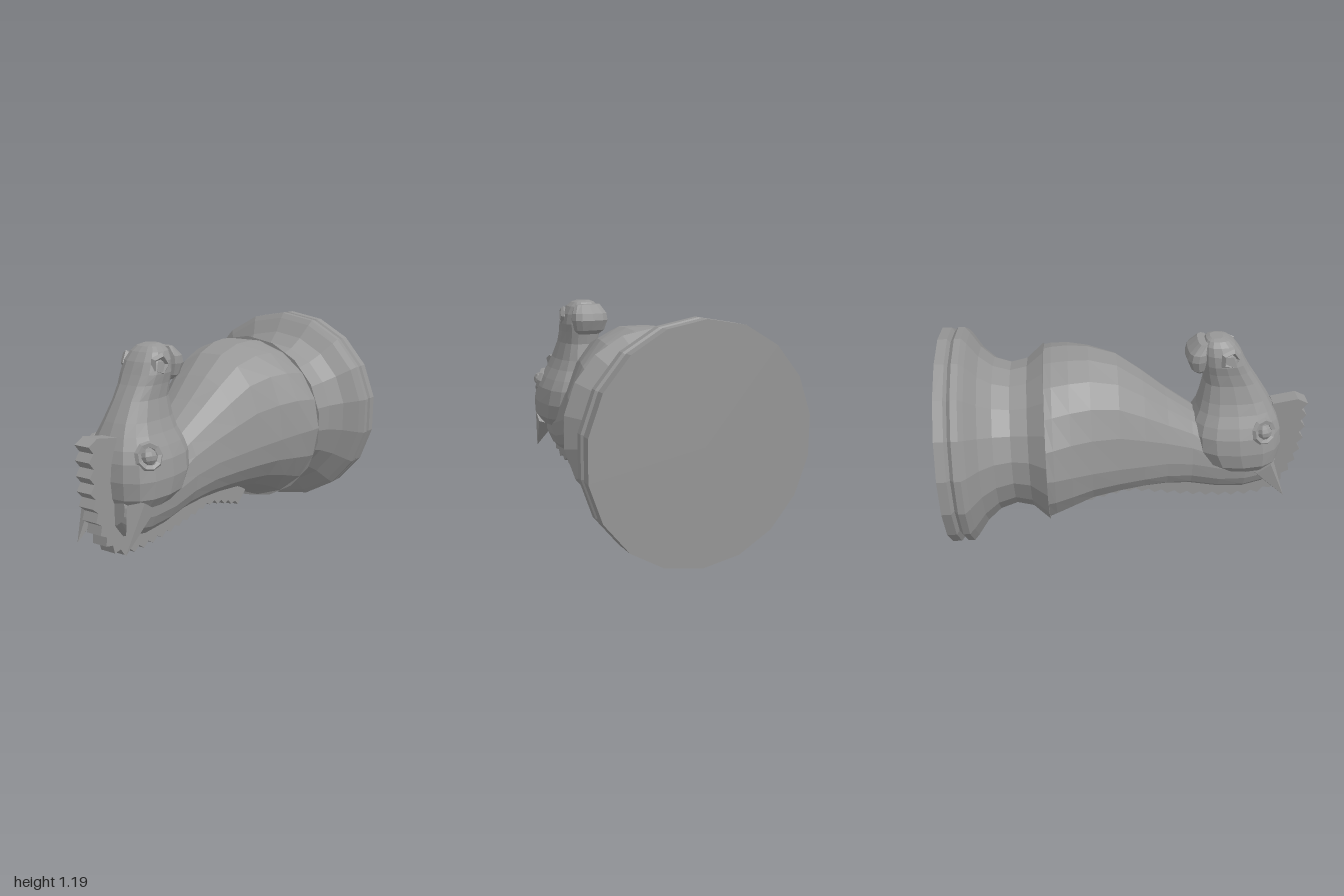
import * as THREE from 'three';

const material = new THREE.MeshStandardMaterial({ color: 0x969696, flatShading: true });

function add(parent, name, geometry) {
  const mesh = new THREE.Mesh(geometry, material);
  mesh.name = name;
  parent.add(mesh);
  return mesh;
}

// Closed loft along z. Each section is [z, low y, high y, y of widest point, half width, roundness].
function loft(sections, sides) {
  const pos = [], index = [];
  sections.forEach(([z, lo, hi, mid, w, power]) => {
    const soft = (v) => Math.sign(v) * Math.pow(Math.abs(v), power);
    for (let j = 0; j < sides; j++) {
      const a = (j / sides) * Math.PI * 2;
      const s = soft(Math.sin(a));
      pos.push(w * soft(Math.cos(a)), mid + s * (s > 0 ? hi - mid : mid - lo), z);
    }
  });
  const last = sections.length - 1;
  for (let i = 0; i < last; i++) {
    for (let j = 0; j < sides; j++) {
      const k = (j + 1) % sides;
      const a = i * sides + j, b = i * sides + k, c = b + sides, d = a + sides;
      index.push(a, b, c, a, c, d);
    }
  }
  for (let j = 1; j < sides - 1; j++) {
    index.push(0, j + 1, j);
    index.push(last * sides, last * sides + j, last * sides + j + 1);
  }
  const g = new THREE.BufferGeometry();
  g.setAttribute('position', new THREE.Float32BufferAttribute(pos, 3));
  g.setIndex(index);
  g.computeVertexNormals();
  return g;
}

// Loft along y. Each row is [y, back z, front z, half width].
function uprightLoft(rows, sides, power) {
  const sections = rows.map(([y, back, front, w]) => [y, -front, -back, -(front + back) / 2, w, power]);
  return loft(sections, sides).rotateX(-Math.PI / 2);
}

export function createModel() {
  const model = new THREE.Group();
  model.name = 'horseHeadPiece';

  // Turned foot and collar, lying along z
  const profile = [
    [0, -1], [0.594, -1], [0.594, -0.95], [0.572, -0.935], [0.594, -0.915], [0.594, -0.88],
    [0.565, -0.855], [0.485, -0.8], [0.425, -0.73], [0.396, -0.64], [0.416, -0.55],
    [0.495, -0.46], [0, -0.46],
  ].map(([r, z]) => new THREE.Vector2(r, z));
  add(model, 'base', new THREE.LatheGeometry(profile, 18).rotateX(Math.PI / 2).translate(0, 0.595, 0));

  // Neck, tapering from the collar to the crown
  add(model, 'neck', loft([
    [-0.459, 0.11, 1.075, 0.595, 0.488, 1],
    [-0.42, 0.135, 1.083, 0.59, 0.478, 0.97],
    [-0.33, 0.185, 1.09, 0.58, 0.44, 0.93],
    [-0.22, 0.23, 1.085, 0.56, 0.385, 0.92],
    [-0.07, 0.252, 1.04, 0.54, 0.33, 0.9],
    [0.07, 0.26, 0.935, 0.52, 0.285, 0.9],
    [0.2, 0.255, 0.825, 0.5, 0.24, 0.9],
    [0.34, 0.24, 0.72, 0.46, 0.2, 0.88],
    [0.5, 0.205, 0.6, 0.41, 0.185, 0.88],
    [0.65, 0.19, 0.56, 0.4, 0.17, 0.88],
    [0.77, 0.215, 0.55, 0.4, 0.145, 0.88],
    [0.83, 0.29, 0.5, 0.4, 0.11, 0.88],
  ], 18));

  // Head, with the muzzle pointing up
  const head = new THREE.Group();
  head.name = 'head';
  model.add(head);
  add(head, 'skull', uprightLoft([
    [0.365, 0.55, 0.74, 0.12], [0.385, 0.47, 0.82, 0.19], [0.44, 0.39, 0.85, 0.232],
    [0.53, 0.338, 0.86, 0.24], [0.62, 0.33, 0.85, 0.225], [0.68, 0.345, 0.83, 0.197],
    [0.74, 0.372, 0.8, 0.163], [0.8, 0.386, 0.768, 0.137], [0.9, 0.405, 0.705, 0.112],
    [0.97, 0.395, 0.658, 0.113], [1.02, 0.39, 0.63, 0.12], [1.08, 0.39, 0.6, 0.113],
    [1.125, 0.395, 0.565, 0.092], [1.15, 0.41, 0.535, 0.066], [1.16, 0.43, 0.5, 0.04],
  ], 16, 0.75));

  // Lower lip below the mouth crease
  add(head, 'lowerLip', uprightLoft([
    [0.965, 0.355, 0.4, 0.065], [0.99, 0.326, 0.41, 0.095], [1.05, 0.302, 0.42, 0.112],
    [1.09, 0.312, 0.42, 0.108], [1.14, 0.365, 0.42, 0.078],
  ], 12, 0.75));

  for (const side of [1, -1]) {
    // Eye with a raised lid, tilted with the cheek
    const eye = new THREE.Group();
    eye.name = 'eye';
    eye.position.set(side * 0.182, 0.65, 0.728);
    eye.rotation.set(-0.3, side * 1.15, 0, 'YXZ');
    head.add(eye);
    add(eye, 'eyeball', new THREE.SphereGeometry(0.044, 8, 6));
    add(eye, 'eyelid', new THREE.TorusGeometry(0.06, 0.018, 5, 9));

    // Five-sided nostril
    const nostril = add(head, 'nostril', new THREE.TorusGeometry(0.045, 0.018, 4, 5));
    nostril.position.set(side * 0.102, 1.065, 0.53);
    nostril.rotation.y = side * 1.3;

    // Pointed ear swept back from the crown
    const root = new THREE.Vector3(side * 0.138, 0.4, 0.745);
    const tip = new THREE.Vector3(side * 0.158, 0.18, 0.888);
    const dir = tip.clone().sub(root);
    const ear = add(head, 'ear', new THREE.ConeGeometry(0.08, dir.length(), 5));
    ear.position.copy(root).lerp(tip, 0.5);
    ear.quaternion.setFromUnitVectors(new THREE.Vector3(0, 1, 0), dir.normalize());
  }

  // Notched mane: teeth are stepped along a curve in the (z, y) plane, shallower toward the base
  const crest = new THREE.CatmullRomCurve3([
    [0.984, 0.735], [0.984, 0.6], [0.975, 0.45], [0.93, 0.3], [0.87, 0.2], [0.78, 0.14],
    [0.65, 0.122], [0.5, 0.125], [0.3, 0.145], [0.1, 0.172], [0, 0.182], [-0.12, 0.155], [-0.3, 0.1],
  ].map(([z, y]) => new THREE.Vector3(z, y, 0)));
  const outline = [new THREE.Vector2(0.94, 0.765)];
  const steps = 46;
  for (let i = 0; i <= steps; i++) {
    const u = i / steps;
    const p = crest.getPointAt(u), t = crest.getTangentAt(u);
    const h = (i % 2 ? -1 : 1) * (0.016 - 0.006 * u);
    outline.push(new THREE.Vector2(p.x - t.y * h, p.y + t.x * h));
  }
  [[-0.38, 0.16], [-0.2, 0.3], [0.3, 0.3], [0.6, 0.27], [0.78, 0.4], [0.82, 0.6], [0.8, 0.74]]
    .forEach(([z, y]) => outline.push(new THREE.Vector2(z, y)));
  const mane = new THREE.ExtrudeGeometry(new THREE.Shape(outline), { depth: 0.09, bevelEnabled: false });
  add(model, 'mane', mane.translate(0, 0, -0.045).rotateY(-Math.PI / 2));

  return model;
}
